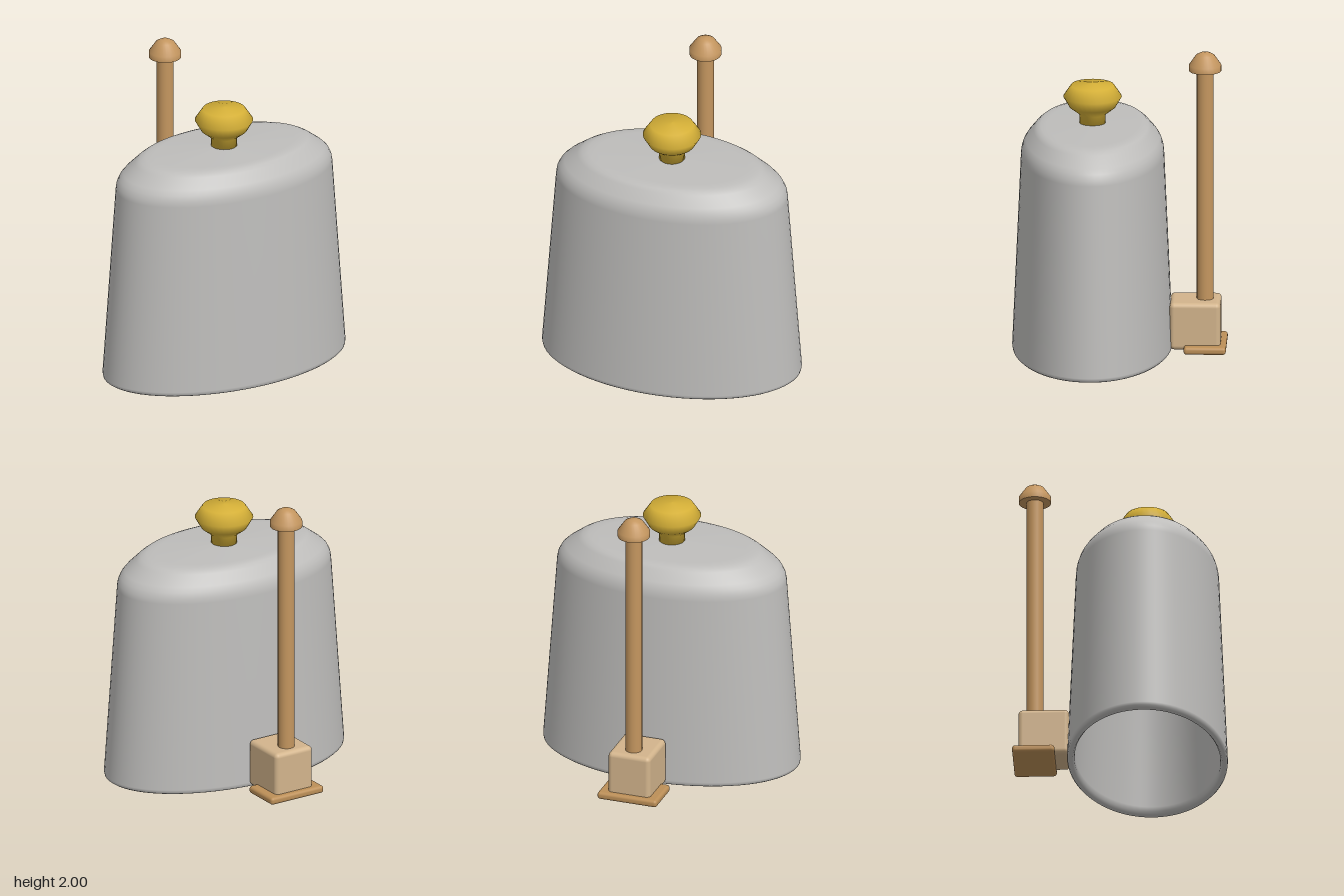
import * as THREE from 'three';
import { RoundedBoxGeometry } from 'three/addons/geometries/RoundedBoxGeometry.js';

const mat = (name, color) => {
  const m = new THREE.MeshStandardMaterial({ color });
  m.name = name;
  return m;
};

export function createModel() {
  const silver = mat('silver', 0xbebdbb);
  const brass = mat('brass', 0xd4af37);
  const wood = mat('wood', 0xc4965f);
  const paleWood = mat('pale wood', 0xd2b48c);
  const darkWood = mat('dark wood', 0xbc8f57);

  const group = new THREE.Group();
  const add = (name, geometry, material, x = 0, y = 0, z = 0) => {
    const mesh = new THREE.Mesh(geometry, material);
    mesh.name = name;
    mesh.position.set(x, y, z);
    group.add(mesh);
    return mesh;
  };
  const lathe = (points, segments) =>
    new THREE.LatheGeometry(points.map(([r, y]) => new THREE.Vector2(r, y)), segments);

  const bellZ = 0.175, poleZ = -0.557;

  // Oval bell: hollow wall, rounded rim and shoulder
  const bell = add('bell', lathe([
    [0, 1.44], [0.54, 1.43], [0.66, 1.38], [0.70, 1.31], [0.785, 0.05], [0.79, 0.02],
    [0.81, 0.005], [0.85, 0.005], [0.865, 0.015], [0.869, 0.035],
    [0.775, 1.31], [0.769, 1.345], [0.75, 1.382], [0.72, 1.412],
    [0.635, 1.476], [0.602, 1.494], [0.56, 1.503], [0.50, 1.506], [0, 1.52],
  ], 72), silver, 0, 0, bellZ);
  bell.scale.z = 0.6;

  // Knob with a short stem
  add('knob', lathe([
    [0, 1.50], [0.085, 1.50], [0.085, 1.575], [0.15, 1.625],
    [0.19, 1.695], [0.14, 1.77], [0, 1.785],
  ], 32), brass, 0, 0, bellZ);

  // Mallet pole and domed cap
  add('pole', new THREE.CylinderGeometry(0.055, 0.055, 1.58, 20), wood, 0, 1.1, poleZ);
  add('capBase', new THREE.CircleGeometry(0.105, 28).rotateX(Math.PI / 2), wood, 0, 1.875, poleZ);
  add('cap', lathe([
    [0.105, 1.875], [0.105, 1.915], [0.06, 1.98], [0.03, 1.996], [0, 2.0],
  ], 28), wood, 0, 0, poleZ);

  // Mallet block and foot plate
  add('block', new RoundedBoxGeometry(0.29, 0.315, 0.33, 4, 0.03), paleWood, 0, 0.177, -0.495);
  add('footPlate', new RoundedBoxGeometry(0.41, 0.05, 0.275, 3, 0.02), darkWood, 0, 0.03, -0.56);

  return group;
}
